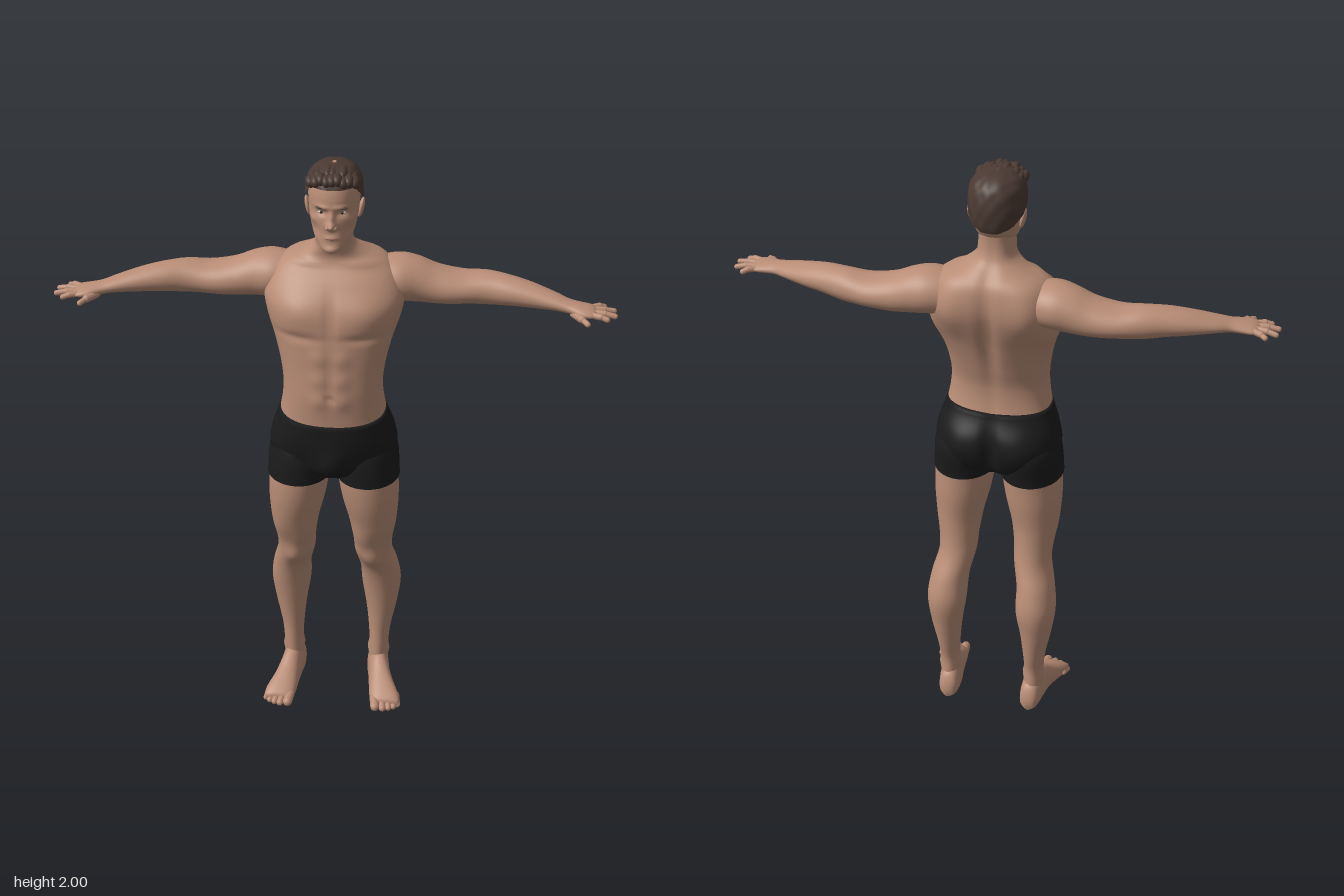
import * as THREE from 'three';

const mat = (name, color) => Object.assign(new THREE.MeshStandardMaterial({ color }), { name });

// Smoothly interpolates a table of cross-sections keyed by its first column
function section(rows, t) {
  const last = rows.length - 1;
  if (t <= rows[0][0]) return rows[0];
  if (t >= rows[last][0]) return rows[last];
  let i = 0;
  while (rows[i + 1][0] < t) i++;
  const a = rows[i], b = rows[i + 1], p = rows[Math.max(i - 1, 0)], q = rows[Math.min(i + 2, last)];
  const h = b[0] - a[0], s = (t - a[0]) / h, s2 = s * s, s3 = s2 * s;
  return a.map((v, k) => {
    const m0 = (b[k] - p[k]) / (b[0] - p[0]) * h, m1 = (q[k] - v) / (q[0] - a[0]) * h;
    return (2 * s3 - 3 * s2 + 1) * v + (s3 - 2 * s2 + s) * m0 + (3 * s2 - 2 * s3) * b[k] + (s3 - s2) * m1;
  });
}

// Lofts rows of [t, centreA, centreB, radiusA, radiusB+, radiusB-] into a closed-ring skin.
// bumps: [x, y, z, sizeX, sizeY, sizeZ, height] raise soft muscles, mirrored in x.
function loft(rows, { t0 = rows[0][0], t1 = rows.at(-1)[0], seg = 48, steps = 40, n = 2, axis = 'y',
  cap = false, grow = 0, bumps = [], ripple = null } = {}) {
  const place = { y: (a, t, b) => [a, t, b], x: (a, t, b) => [t, a, b], z: (a, t, b) => [a, b, t] }[axis];
  const at = (v, angle) => (typeof v === 'function' ? v(angle) : v);
  const pos = [], idx = [];
  const pow = (v) => Math.sign(v) * Math.abs(v) ** (2 / n);
  const tri = (a, b, c) => (axis === 'y' ? idx.push(a, b, c) : idx.push(a, c, b));
  for (let i = 0; i <= steps; i++) {
    for (let j = 0; j < seg; j++) {
      const g = j / seg * Math.PI * 2, t = THREE.MathUtils.lerp(at(t0, g), at(t1, g), i / steps);
      const [, ca, cb, ra, rf, rb] = section(rows, t), s = Math.sin(g);
      pos.push(...place(ca + ra * pow(Math.cos(g)), t, cb + (s > 0 ? rf : rb) * pow(s)));
      const k = (j + 1) % seg, o = i * seg;
      if (i < steps) { tri(o + j, o + seg + j, o + seg + k); tri(o + j, o + seg + k, o + k); }
    }
  }
  if (cap) [0, steps].forEach((i) => {
    const r = section(rows, at(i ? t1 : t0, 0)), c = pos.length / 3, o = i * seg;
    pos.push(...place(r[1], r[0], r[2]));
    for (let j = 0; j < seg; j++) {
      const k = (j + 1) % seg;
      if (i) tri(o + k, o + j, c); else tri(o + j, o + k, c);
    }
  });
  const geo = new THREE.BufferGeometry();
  geo.setAttribute('position', new THREE.Float32BufferAttribute(pos, 3));
  geo.setIndex(idx);
  geo.computeVertexNormals();
  const P = geo.attributes.position, N = geo.attributes.normal;
  for (let i = 0; i < P.count; i++) {
    const x = P.getX(i), y = P.getY(i), z = P.getZ(i);
    let d = grow + (ripple ? ripple(x, y, z) : 0);
    for (const [bx, by, bz, sx, sy, sz, h] of bumps) {
      d += h * Math.exp(-(((Math.abs(x) - bx) / sx) ** 2) - ((y - by) / sy) ** 2 - ((z - bz) / sz) ** 2);
    }
    P.setXYZ(i, x + N.getX(i) * d, y + N.getY(i) * d, z + N.getZ(i) * d);
  }
  geo.computeVertexNormals();
  return geo;
}

function capsule(a, b, r) {
  const A = new THREE.Vector3(...a), B = new THREE.Vector3(...b), d = B.clone().sub(A);
  const q = new THREE.Quaternion().setFromUnitVectors(new THREE.Vector3(0, 1, 0), d.clone().normalize());
  const m = A.add(B).multiplyScalar(0.5);
  return new THREE.CapsuleGeometry(r, d.length(), 6, 12).applyQuaternion(q).translate(m.x, m.y, m.z);
}

const ball = (x, y, z, rx, ry, rz, tilt = 0) =>
  new THREE.SphereGeometry(1, 24, 16).scale(rx, ry, rz).rotateZ(tilt).translate(x, y, z);

function mirrored(geo) {
  const g = geo.clone().scale(-1, 1, 1), a = g.index.array;
  for (let i = 0; i < a.length; i += 3) [a[i + 1], a[i + 2]] = [a[i + 2], a[i + 1]];
  return g;
}

const TORSO = [
  [0.91, 0, 0.02, 0.07, 0.05, 0.05], [0.95, 0, 0.02, 0.17, 0.1, 0.11], [1.02, 0, 0.02, 0.204, 0.125, 0.135],
  [1.08, 0, 0.02, 0.197, 0.138, 0.135], [1.16, 0, 0.03, 0.172, 0.132, 0.112], [1.25, 0, 0.04, 0.16, 0.125, 0.112],
  [1.33, 0, 0.035, 0.167, 0.125, 0.125], [1.42, 0, 0.02, 0.188, 0.135, 0.138], [1.5, 0, 0, 0.213, 0.148, 0.145],
  [1.56, 0, -0.01, 0.222, 0.14, 0.148], [1.62, 0, -0.025, 0.2, 0.115, 0.132], [1.66, 0, -0.035, 0.165, 0.085, 0.11],
  [1.69, 0, -0.03, 0.105, 0.07, 0.088], [1.72, 0, -0.01, 0.066, 0.058, 0.08], [1.76, 0, 0, 0.058, 0.058, 0.076],
  [1.83, 0, 0, 0.055, 0.05, 0.075]];
const TORSO_BUMPS = [
  [0.1, 1.53, 0.12, 0.075, 0.055, 0.08, 0.014], [0, 1.53, 0.15, 0.014, 0.07, 0.05, -0.009],
  [0.1, 1.455, 0.13, 0.07, 0.014, 0.06, -0.007], [0, 1.33, 0.165, 0.008, 0.1, 0.04, -0.004],
  ...[1.24, 1.315, 1.39].map((y) => [0.036, y, 0.16, 0.026, 0.03, 0.05, 0.006]),
  [0, 1.25, 0.165, 0.009, 0.01, 0.03, -0.008], [0.09, 1.668, 0.03, 0.06, 0.009, 0.05, 0.006],
  [0, 1.45, -0.14, 0.024, 0.24, 0.08, -0.018], [0.12, 1.57, -0.14, 0.06, 0.09, 0.06, 0.02],
  [0.19, 1.47, -0.06, 0.05, 0.07, 0.06, 0.008],
  [0.095, 1.03, -0.11, 0.07, 0.07, 0.06, 0.018], [0, 1.02, -0.12, 0.02, 0.09, 0.06, -0.022],
  [0, 1.0, 0.14, 0.045, 0.055, 0.06, 0.026]];
const LEG = [
  [0.07, 0.148, -0.08, 0.033, 0.05, 0.05], [0.15, 0.15, -0.078, 0.033, 0.046, 0.045],
  [0.22, 0.152, -0.085, 0.038, 0.052, 0.052], [0.32, 0.157, -0.088, 0.053, 0.063, 0.066],
  [0.42, 0.157, -0.082, 0.066, 0.073, 0.083], [0.5, 0.149, -0.06, 0.064, 0.073, 0.086],
  [0.58, 0.131, -0.03, 0.063, 0.082, 0.08], [0.64, 0.13, -0.015, 0.066, 0.085, 0.08],
  [0.72, 0.13, 0.005, 0.078, 0.095, 0.095], [0.82, 0.122, 0.015, 0.094, 0.112, 0.112],
  [0.92, 0.113, 0.02, 0.1, 0.115, 0.12], [1.02, 0.107, 0.015, 0.097, 0.112, 0.125], [1.08, 0.1, 0.02, 0.08, 0.08, 0.1]];
const LEG_BUMPS = [
  [0.133, 0.575, 0.05, 0.03, 0.035, 0.04, 0.01], [0.1, 0.67, 0.05, 0.03, 0.05, 0.05, 0.008],
  [0.175, 0.71, 0.05, 0.03, 0.07, 0.06, 0.005], [0.11, 0.41, -0.12, 0.03, 0.07, 0.05, 0.006],
  [0.115, 0.13, -0.08, 0.02, 0.02, 0.02, 0.006], [0.183, 0.12, -0.085, 0.02, 0.02, 0.02, 0.006]];
const ARM = [
  [0.12, 1.585, -0.05, 0.068, 0.07, 0.08], [0.2, 1.587, -0.06, 0.074, 0.09, 0.088], [0.26, 1.58, -0.064, 0.07, 0.08, 0.08],
  [0.32, 1.568, -0.064, 0.06, 0.074, 0.074], [0.4, 1.562, -0.062, 0.051, 0.069, 0.075],
  [0.48, 1.565, -0.055, 0.053, 0.06, 0.065], [0.55, 1.566, -0.037, 0.047, 0.056, 0.06],
  [0.62, 1.562, -0.018, 0.038, 0.05, 0.056], [0.7, 1.554, 0.008, 0.025, 0.04, 0.046],
  [0.74, 1.548, 0.022, 0.02, 0.036, 0.037], [0.78, 1.543, 0.033, 0.018, 0.045, 0.042],
  [0.81, 1.54, 0.037, 0.015, 0.044, 0.044], [0.826, 1.538, 0.037, 0.009, 0.036, 0.036]];
const ARM_BUMPS = [
  [0.23, 1.62, -0.05, 0.07, 0.06, 0.08, 0.006], [0.36, 1.55, 0, 0.06, 0.05, 0.04, 0.006],
  [0.32, 1.55, -0.13, 0.07, 0.05, 0.04, 0.006]];
const FOOT = [
  [-0.15, 0.145, 0.036, 0.016, 0.02, 0.026], [-0.135, 0.145, 0.042, 0.031, 0.05, 0.038], [-0.08, 0.148, 0.043, 0.038, 0.085, 0.042],
  [-0.03, 0.155, 0.04, 0.038, 0.082, 0.038], [0.02, 0.166, 0.035, 0.043, 0.055, 0.034],
  [0.07, 0.179, 0.028, 0.051, 0.035, 0.027], [0.1, 0.186, 0.022, 0.05, 0.023, 0.02], [0.115, 0.188, 0.019, 0.043, 0.013, 0.012]];
const HEAD = [
  [1.733, 0, 0.075, 0.02, 0.026, 0.04], [1.745, 0, 0.06, 0.038, 0.054, 0.06], [1.765, 0, 0.04, 0.054, 0.072, 0.08],
  [1.79, 0, 0.02, 0.066, 0.088, 0.086], [1.83, 0, 0.005, 0.075, 0.102, 0.096], [1.87, 0, 0, 0.079, 0.105, 0.1],
  [1.91, 0, 0, 0.08, 0.104, 0.101], [1.95, 0, 0, 0.073, 0.092, 0.09], [1.97, 0, 0, 0.057, 0.074, 0.072],
  [1.982, 0, 0, 0.034, 0.045, 0.045], [1.987, 0, 0, 0.005, 0.008, 0.008]];
const FACE_BUMPS = [
  [0, 1.829, 0.107, 0.013, 0.012, 0.03, 0.026], [0, 1.85, 0.105, 0.009, 0.022, 0.03, 0.014],
  [0.032, 1.866, 0.095, 0.018, 0.011, 0.03, -0.009], [0.025, 1.886, 0.1, 0.024, 0.008, 0.03, 0.005],
  [0, 1.787, 0.108, 0.022, 0.009, 0.03, 0.005], [0, 1.75, 0.11, 0.02, 0.011, 0.03, 0.005],
  [0.055, 1.84, 0.07, 0.018, 0.013, 0.03, 0.004], [0.05, 1.805, 0.07, 0.018, 0.018, 0.03, -0.005]];

export function createModel() {
  const model = new THREE.Group();
  model.name = 'standingMan';
  const skin = mat('skin', 0xb98d76), cloth = mat('shortsBlack', 0x1b1b1c), hair = mat('hairBrown', 0x4b3a33);
  const lips = mat('lips', 0xa06e5e), white = mat('eyeWhite', 0xc9beb6), iris = mat('iris', 0x35281f);
  const add = (name, geo, m) => {
    const mesh = new THREE.Mesh(geo, m);
    mesh.name = name;
    model.add(mesh);
  };
  const pair = (name, geo, m) => { add(name + 'Left', geo, m); add(name + 'Right', mirrored(geo), m); };

  // Body, with the waistband dipping at the front
  const waist = (g) => 1.163 - 0.018 * Math.max(0, Math.sin(g));
  add('torso', loft(TORSO, { t0: 1.1, n: 2.3, seg: 96, steps: 90, bumps: TORSO_BUMPS }), skin);
  add('shorts', loft(TORSO, { t1: waist, n: 2.3, seg: 96, steps: 40, cap: true, grow: 0.004, bumps: TORSO_BUMPS }), cloth);

  // Legs and arms
  pair('shortsLeg', loft(LEG, { t0: 0.908, steps: 20, grow: 0.005 }), cloth);
  pair('leg', loft(LEG, { t1: 0.95, steps: 70, bumps: LEG_BUMPS }), skin);
  pair('foot', loft(FOOT, { axis: 'z', n: 2.3, cap: true, seg: 32 }), skin);
  pair('arm', loft(ARM, { axis: 'x', cap: true, steps: 70, bumps: ARM_BUMPS }), skin);

  // Toes, from big to little: x, tip z, radius
  [[0.153, 0.13, 0.016], [0.179, 0.132, 0.012], [0.199, 0.126, 0.011], [0.216, 0.117, 0.0105], [0.23, 0.104, 0.01]]
    .forEach(([x, z, r], i) => pair('toe' + (i + 1), capsule([x - 0.006, 0.024, z - 0.04], [x, r + 0.001, z], r), skin));

  // Fingers: knuckle, middle joint and tip as [x, z]
  [[[0.815, 0.007], [0.835, -0.004], [0.85, -0.013]], [[0.818, 0.026], [0.85, 0.02], [0.88, 0.015]],
    [[0.818, 0.046], [0.85, 0.05], [0.883, 0.053]], [[0.812, 0.065], [0.838, 0.074], [0.858, 0.08]],
    [[0.755, 0.05], [0.78, 0.085], [0.798, 0.108]]].forEach(([a, b, c], i) => {
    const y = i === 4 ? 1.535 : 1.54;
    pair('fingerBase' + i, capsule([a[0], y, a[1]], [b[0], y, b[1]], i === 4 ? 0.013 : 0.0105), skin);
    pair('fingerTip' + i, capsule([b[0], y, b[1]], [c[0], y - 0.006, c[1]], 0.009), skin);
  });

  // Head and face
  add('head', loft(HEAD, { n: 2.15, seg: 112, steps: 100, cap: true, bumps: FACE_BUMPS }), skin);
  pair('ear', ball(0.083, 1.845, -0.008, 0.009, 0.034, 0.02, -0.2), skin);
  pair('nostril', ball(0.012, 1.825, 0.113, 0.007, 0.007, 0.012), skin);
  pair('eye', ball(0.032, 1.866, 0.081, 0.013, 0.0055, 0.011), white);
  pair('iris', ball(0.032, 1.866, 0.089, 0.005, 0.005, 0.005), iris);
  pair('eyebrow', ball(0.032, 1.884, 0.096, 0.018, 0.0032, 0.008, 0.06), hair);
  add('mouth', ball(0, 1.787, 0.108, 0.02, 0.0045, 0.008), lips);

  // Short hair: high at the forehead, low at the nape
  const hairline = (g) => {
    const s = Math.sin(g);
    return s > 0 ? 1.878 + 0.062 * Math.min(1, s * 1.5) : 1.878 + 0.05 * s;
  };
  add('hair', loft(HEAD, { t0: hairline, n: 2.1, seg: 96, steps: 36, grow: 0.01,
    ripple: (x, y, z) => 0.0015 * Math.sin(x * 160 + z * 60) * Math.sin(y * 90 + z * 40) }), hair);
  for (let i = -4; i <= 4; i++) {
    const x = i * 0.017, k = Math.abs(i) / 4, wave = 0.004 * Math.sin(i * 2.3);
    add('frontLock', ball(x, 1.968 - 0.014 * k * k + wave, 0.082 - 0.026 * k * k, 0.016, 0.02, 0.029, 0.4), hair);
    add('topLock', ball(x * 0.9, 1.979 - 0.02 * k * k - wave, 0.04 - 0.012 * k, 0.015, 0.017, 0.042, 0.3), hair);
  }
  return model;
}
